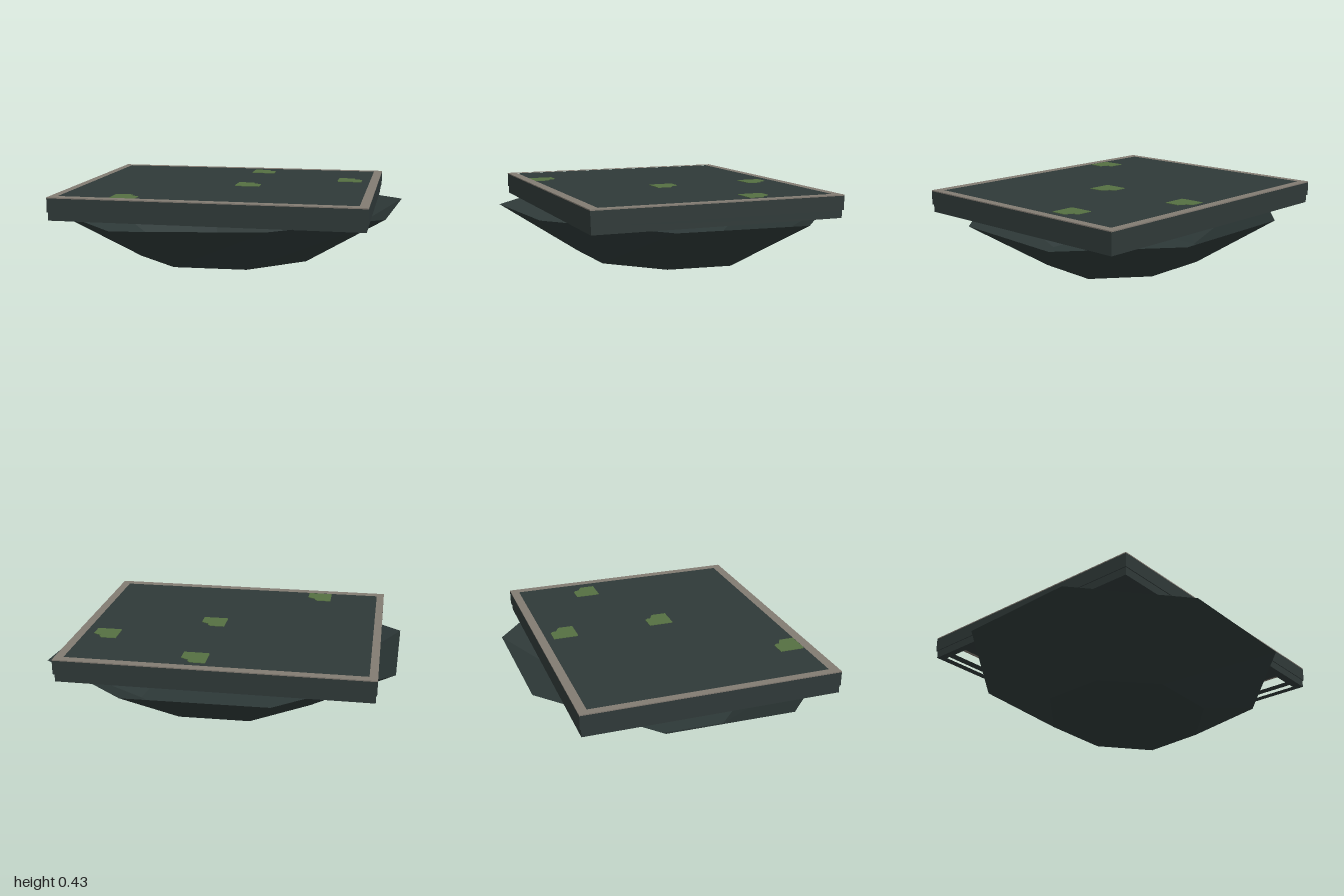
import * as THREE from 'three';

const mat = (name, color, side = THREE.FrontSide) => {
  const m = new THREE.MeshStandardMaterial({ color, side });
  m.name = name;
  return m;
};

// Closed shape from [x, z] points, to be laid flat
const outline = (pts, Type = THREE.Shape) =>
  new Type(pts.map(([x, z]) => new THREE.Vector2(x, -z)));

const rect = (x0, x1, z0, z1) => [[x0, z0], [x1, z0], [x1, z1], [x0, z1]];

// Lays a shape flat and gives it a thickness from y0 to y1
function slab(name, material, pts, y0, y1, hole) {
  const shape = outline(pts);
  if (hole) shape.holes.push(outline(hole, THREE.Path));
  const geo = new THREE.ExtrudeGeometry(shape, { depth: y1 - y0, bevelEnabled: false });
  geo.rotateX(-Math.PI / 2).translate(0, y0, 0);
  const mesh = new THREE.Mesh(geo, material);
  mesh.name = name;
  return mesh;
}

// Faceted open bowl: irregular eight-sided rim narrowing to a flat bottom
function bowl(material) {
  const rim = [
    [-0.35, 0.29, -0.865], [0.45, 0.29, -0.88], [1, 0.293, -0.44], [0.93, 0.29, 0.29],
    [0.34, 0.3, 0.835], [-0.48, 0.28, 0.87], [-1, 0.297, 0.39], [-0.98, 0.29, -0.32],
  ];
  const low = rim.map(([x, , z]) => [x * 0.51, 0, z * 0.51]);
  const pos = [];
  rim.forEach((a, i) => {
    const j = (i + 1) % rim.length;
    const b = rim[j], c = low[j], d = low[i];
    pos.push(...a, ...b, ...c, ...a, ...c, ...d, 0, 0, 0, ...d, ...c);
  });
  const geo = new THREE.BufferGeometry();
  geo.setAttribute('position', new THREE.Float32BufferAttribute(pos, 3));
  geo.computeVertexNormals();
  const mesh = new THREE.Mesh(geo, material);
  mesh.name = 'rockBase';
  return mesh;
}

export function createModel() {
  const group = new THREE.Group();
  group.name = 'stonePlatform';
  const rock = mat('darkRock', 0x2d3837, THREE.DoubleSide);
  const stone = mat('darkStone', 0x2f3938);
  const edge = mat('paleEdge', 0x827b72);
  const moss = mat('moss', 0x557042);

  group.add(bowl(rock));

  // Stepped frame with a pale edging on top
  const inner = rect(-0.84, 0.81, -0.69, 0.665);
  const outer = rect(-0.885, 0.86, -0.74, 0.72);
  group.add(
    slab('lowerFrame', stone, rect(-0.88, 0.852, -0.732, 0.715), 0.295, 0.34, inner),
    slab('upperFrame', stone, outer, 0.34, 0.419, inner),
    slab('edging', edge, outer, 0.419, 0.425, inner),
    slab('deck', stone, inner, 0.4, 0.421),
  );

  // Notched moss patches
  const patch = [
    [0, 0], [0.085, 0], [0.1, 0.015], [0.1, 0.035], [0.13, 0.05],
    [0.145, 0.06], [0.145, 0.145], [0.005, 0.145], [0, 0.135],
  ];
  for (const [x, z] of [[0.035, -0.645], [0.615, -0.355], [0.035, -0.06], [-0.55, 0.52]]) {
    const pts = patch.map(([px, pz]) => [x + px, z + pz]);
    group.add(slab('mossPatch', moss, pts, 0.42, 0.424));
  }
  return group;
}
